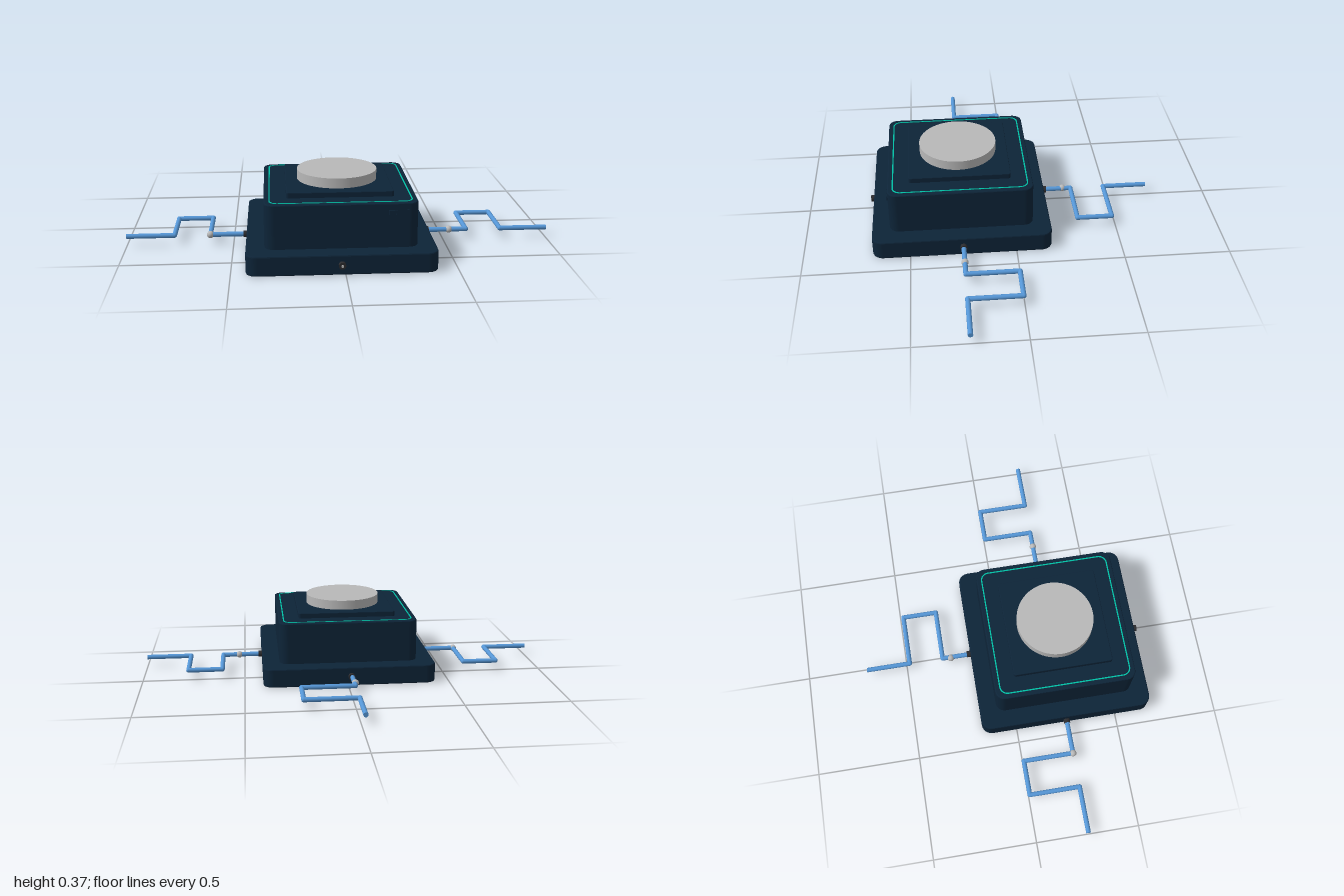
import * as THREE from 'three';

const CX = -0.012, CZ = 0.253, WIRE_Y = 0.048;

const mat = (name, color) => {
  const m = new THREE.MeshStandardMaterial({ color });
  m.name = name;
  return m;
};

// Square outline with rounded corners
function roundedSquare(size, r, Type = THREE.Shape) {
  const h = size / 2, s = new Type();
  s.moveTo(-h + r, -h);
  s.lineTo(h - r, -h);
  s.absarc(h - r, -h + r, r, -Math.PI / 2, 0);
  s.lineTo(h, h - r);
  s.absarc(h - r, h - r, r, 0, Math.PI / 2);
  s.lineTo(-h + r, h);
  s.absarc(-h + r, h - r, r, Math.PI / 2, Math.PI);
  s.lineTo(-h, -h + r);
  s.absarc(-h + r, -h + r, r, Math.PI, Math.PI * 1.5);
  return s;
}

// Upright slab from y0 to y1 with a small edge bevel
function slab(size, r, y0, y1, bevel) {
  const g = new THREE.ExtrudeGeometry(roundedSquare(size - 2 * bevel, r - bevel), {
    depth: y1 - y0 - 2 * bevel, curveSegments: 8,
    bevelEnabled: bevel > 0, bevelSize: bevel, bevelThickness: bevel, bevelSegments: 2,
  });
  return g.rotateX(-Math.PI / 2).translate(CX, y0 + bevel, CZ);
}

export function createModel() {
  const group = new THREE.Group();
  const navy = mat('navy casing', 0x0d2438);
  const teal = mat('teal trim', 0x00bfa5);
  const silver = mat('silver', 0xb8b8b8);
  const blue = mat('blue wire', 0x5596d6);
  const dark = mat('dark socket', 0x2b2b2e);

  const add = (name, geometry, material, parent = group) => {
    const m = new THREE.Mesh(geometry, material);
    m.name = name;
    parent.add(m);
    return m;
  };

  // Stepped casing
  add('base', slab(0.845, 0.05, 0, 0.092, 0.006), navy);
  add('body', slab(0.68, 0.045, 0.085, 0.295, 0.005), navy);
  add('topPlate', slab(0.48, 0.012, 0.29, 0.32, 0.003), navy);

  // Thin inlaid trim line
  const outline = roundedSquare(0.636, 0.04);
  outline.holes.push(roundedSquare(0.624, 0.034, THREE.Path));
  const trim = new THREE.ExtrudeGeometry(outline, { depth: 0.004, bevelEnabled: false, curveSegments: 8 });
  add('trimLine', trim.rotateX(-Math.PI / 2).translate(CX, 0.293, CZ), teal);

  // Round cap
  add('cap', new THREE.CylinderGeometry(0.185, 0.185, 0.047, 64).translate(CX, 0.3425, CZ), silver);

  // Three small indicator frames on the front
  for (let i = 0; i < 3; i++) {
    add('indicator', new THREE.BoxGeometry(0.026, 0.022, 0.006)
      .translate(0.207 + i * 0.031, 0.253, CZ + 0.341), navy);
  }

  // Sockets on the four sides of the base
  const sockets = new THREE.Group();
  sockets.name = 'sockets';
  group.add(sockets);
  for (let i = 0; i < 4; i++) {
    const a = i * Math.PI / 2;
    const socket = add('socket', new THREE.CylinderGeometry(0.016, 0.016, 0.03, 20)
      .rotateX(Math.PI / 2).translate(0, 0, 0.426), dark, sockets);
    socket.rotation.y = a;
    socket.position.set(i % 2 ? CX : -0.016, WIRE_Y, i % 2 ? 0.25 : CZ);
  }
  add('socketPin', new THREE.CylinderGeometry(0.006, 0.006, 0.004, 16)
    .rotateX(Math.PI / 2).translate(-0.016, WIRE_Y, CZ + 0.442), silver);

  // Bent wire: straight rods with ball elbows, points given as [x, z]
  const up = new THREE.Vector3(0, 1, 0);
  function wire(name, points, bead) {
    const part = new THREE.Group();
    part.name = name;
    group.add(part);
    const p = points.map(([x, z]) => new THREE.Vector3(x, WIRE_Y, z));
    for (let i = 0; i < p.length - 1; i++) {
      const d = p[i + 1].clone().sub(p[i]);
      const rod = add('wireRod', new THREE.CylinderGeometry(0.0115, 0.0115, d.length(), 16), blue, part);
      rod.position.copy(p[i]).addScaledVector(d, 0.5);
      rod.quaternion.setFromUnitVectors(up, d.normalize());
      if (i > 0) add('wireElbow', new THREE.SphereGeometry(0.0117, 16, 12), blue, part).position.copy(p[i]);
    }
    add('bead', new THREE.SphereGeometry(0.017, 20, 14), silver, part).position.set(bead[0], WIRE_Y, bead[1]);
  }
  wire('leftWire', [[0.42, 0.25], [0.61, 0.25], [0.61, 0.005], [0.776, 0.005], [0.776, 0.25], [1, 0.25]], [0.527, 0.25]);
  wire('rightWire', [[-0.44, 0.25], [-0.608, 0.25], [-0.608, 0.005], [-0.776, 0.005], [-0.776, 0.25], [-1, 0.25]], [-0.608, 0.25]);
  wire('backWire', [[-0.018, -0.18], [-0.018, -0.313], [0.236, -0.313], [0.236, -0.482], [-0.018, -0.482], [-0.018, -0.7]], [-0.022, -0.272]);

  return group;
}
